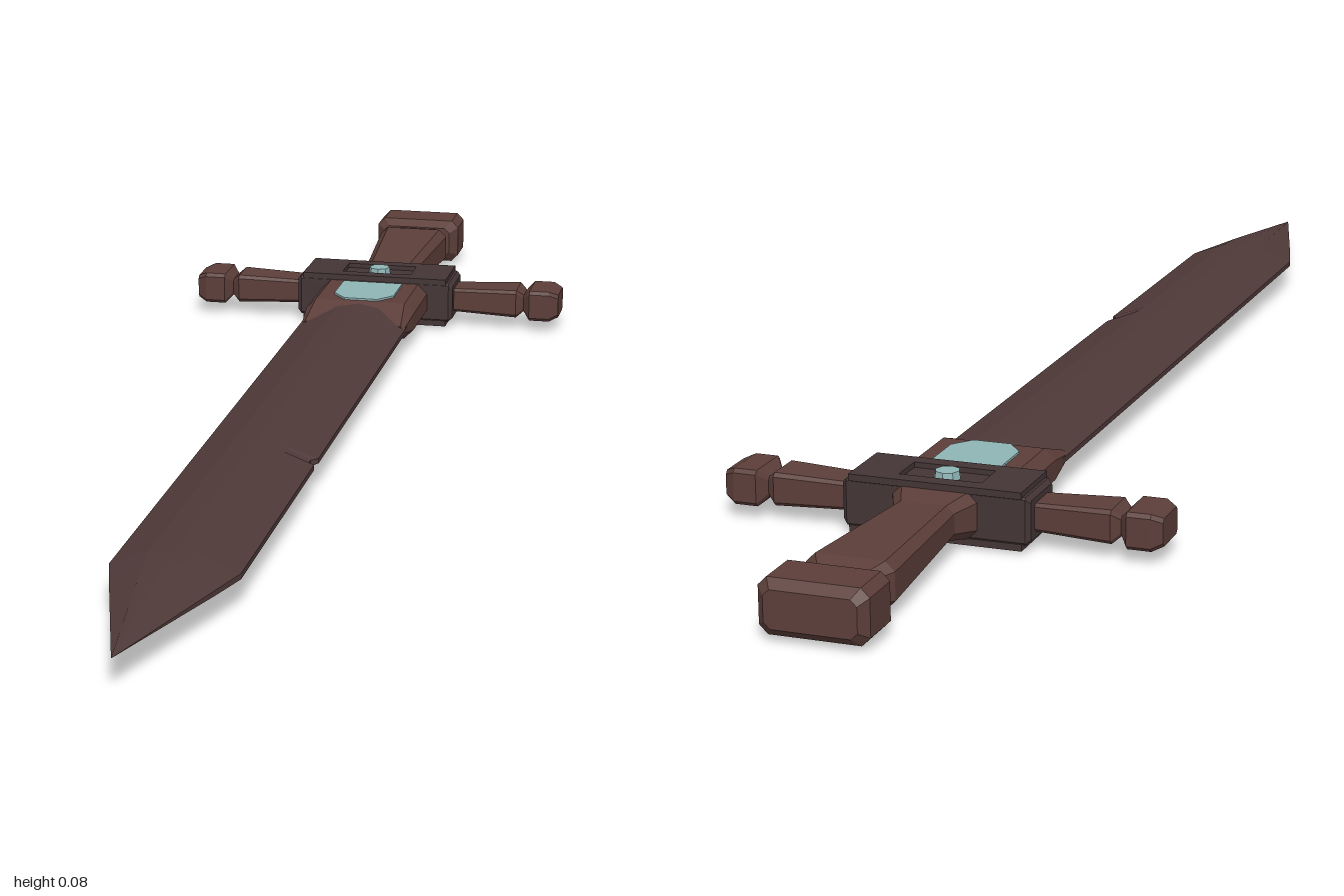
import * as THREE from 'three';

const MID = 0.0415; // height of the sword's centre plane
const GUARD_Z = -0.581;

const material = (color) => new THREE.MeshStandardMaterial({ color, flatShading: true });
const wood = material(0x5c3e39);
const bladeMat = material(0x4e3938);
const guardMat = material(0x443536);
const gemMat = material(0x8fb4b5);

// Skin a list of { z, ring } sections; rings run counter-clockwise seen from +z.
function loft(sections) {
  const pos = [];
  const tri = (...pts) => pts.forEach((p) => pos.push(...p));
  const rings = sections.map(({ z, ring }) => ring.map(([x, y]) => [x, y, z]));
  const n = rings[0].length;
  const last = rings[rings.length - 1];
  for (let i = 0; i < n; i++) {
    const j = (i + 1) % n;
    for (let k = 0; k < rings.length - 1; k++) {
      const a = rings[k], b = rings[k + 1];
      tri(a[i], a[j], b[j]);
      tri(a[i], b[j], b[i]);
    }
    tri([0, 0, sections[0].z], rings[0][j], rings[0][i]);
    tri([0, 0, sections[sections.length - 1].z], last[i], last[j]);
  }
  const geo = new THREE.BufferGeometry();
  geo.setAttribute('position', new THREE.Float32BufferAttribute(pos, 3));
  geo.computeVertexNormals();
  return geo;
}

// Chamfered rectangle with half width w, half height h and corner cut c.
const octagon = (w, h, c) => [
  [w, -h + c], [w, h - c], [w - c, h], [-w + c, h],
  [-w, h - c], [-w, -h + c], [-w + c, -h], [w - c, -h],
];
const octLoft = (rows) => loft(rows.map(([z, w, h, c]) => ({ z, ring: octagon(w, h, c) })));

// Lens-shaped blade section; notch pulls in the +x edge.
function bladeRing(w, h, notch = 0) {
  const e = h * 0.14, m = h * 0.86, r = w - notch;
  return [
    [r, -e], [r, e], [w * 0.4, m], [0, h], [-w * 0.4, m],
    [-w, e], [-w, -e], [-w * 0.4, -m], [0, -h], [w * 0.4, -m],
  ];
}

function outline(points) {
  return new THREE.Shape(points.map(([x, y]) => new THREE.Vector2(x, y)));
}

export function createModel() {
  const model = new THREE.Group();
  const add = (name, geo, mat, parent = model) => {
    const mesh = new THREE.Mesh(geo, mat);
    mesh.name = name;
    parent.add(mesh);
    return mesh;
  };
  const sword = new THREE.Group();
  sword.name = 'sword';
  sword.position.y = MID;
  model.add(sword);

  // Blade with a small nick in one edge
  add('blade', loft([
    [-0.56, 0.082, 0.026], [0.275, 0.082, 0.026], [0.285, 0.082, 0.026, 0.009],
    [0.295, 0.082, 0.026, 0.009], [0.303, 0.082, 0.026], [0.72, 0.082, 0.026],
    [0.78, 0.065, 0.024], [1, 0.0005, 0.0005],
  ].map(([z, w, h, notch]) => ({ z, ring: bladeRing(w, h, notch) }))), bladeMat, sword);

  // Thick blade root sloping down into the blade
  add('bladeRoot', octLoft([
    [-0.56, 0.085, 0.028, 0.015], [-0.42, 0.085, 0.028, 0.015], [-0.36, 0.08, 0.008, 0.005],
  ]), wood, sword);

  // Grip and pommel
  add('grip', octLoft([
    [-0.925, 0.042, 0.022, 0.009], [-0.905, 0.042, 0.024, 0.009], [-0.885, 0.056, 0.03, 0.012],
    [-0.66, 0.04, 0.023, 0.01], [-0.625, 0.056, 0.03, 0.012], [-0.6, 0.056, 0.03, 0.012],
  ]), wood, sword);
  add('pommel', octLoft([
    [-1, 0.058, 0.024, 0.008], [-0.988, 0.069, 0.035, 0.011],
    [-0.93, 0.069, 0.035, 0.011], [-0.915, 0.056, 0.025, 0.008],
  ]), wood, sword);

  // Guard block, built along z and turned to lie along x
  const guard = new THREE.Group();
  guard.name = 'guard';
  guard.position.z = GUARD_Z;
  sword.add(guard);
  add('guardBlock', octLoft([
    [-0.125, 0.039, 0.026, 0.003], [-0.119, 0.044, 0.031, 0.003],
    [0.119, 0.044, 0.031, 0.003], [0.125, 0.039, 0.026, 0.003],
  ]).rotateY(Math.PI / 2), guardMat, guard);

  // Crossguard arms ending in knobs
  for (const side of [1, -1]) {
    const arm = add(side > 0 ? 'leftArm' : 'rightArm', octLoft([
      [0.11, 0.025, 0.018, 0.004], [0.225, 0.031, 0.022, 0.005], [0.236, 0.022, 0.013, 0.004],
      [0.247, 0.037, 0.024, 0.005], [0.278, 0.037, 0.024, 0.005], [0.292, 0.029, 0.018, 0.005],
    ]), wood, guard);
    arm.rotation.y = side * Math.PI / 2;
  }

  // Recessed frame, round gem and blade inlay, repeated on both faces
  const frame = outline([
    [-0.115, -0.046], [0.115, -0.046], [0.115, 0.046], [-0.115, 0.046],
  ]);
  frame.holes.push(outline([[-0.055, -0.025], [-0.055, 0.025], [0.055, 0.025], [0.055, -0.025]]));
  const frameGeo = new THREE.ExtrudeGeometry(frame, { depth: 0.009, bevelEnabled: false })
    .rotateX(-Math.PI / 2).translate(0, 0.029, 0);
  const inlayGeo = new THREE.ExtrudeGeometry(outline([
    [-0.047, 0.525], [-0.047, 0.452], [-0.026, 0.425], [0.026, 0.425], [0.047, 0.452], [0.047, 0.525],
  ]), { depth: 0.006, bevelEnabled: false }).rotateX(-Math.PI / 2).translate(0, 0.025, 0);
  for (const face of ['upper', 'lower']) {
    const group = new THREE.Group();
    group.name = face + 'Face';
    if (face === 'lower') group.rotation.z = Math.PI;
    sword.add(group);
    add('guardFrame', frameGeo, guardMat, group).position.z = GUARD_Z;
    add('guardGem', new THREE.CylinderGeometry(0.016, 0.018, 0.0125, 8), gemMat, group)
      .position.set(0, 0.03525, GUARD_Z);
    add('bladeInlay', inlayGeo, gemMat, group);
  }
  return model;
}
